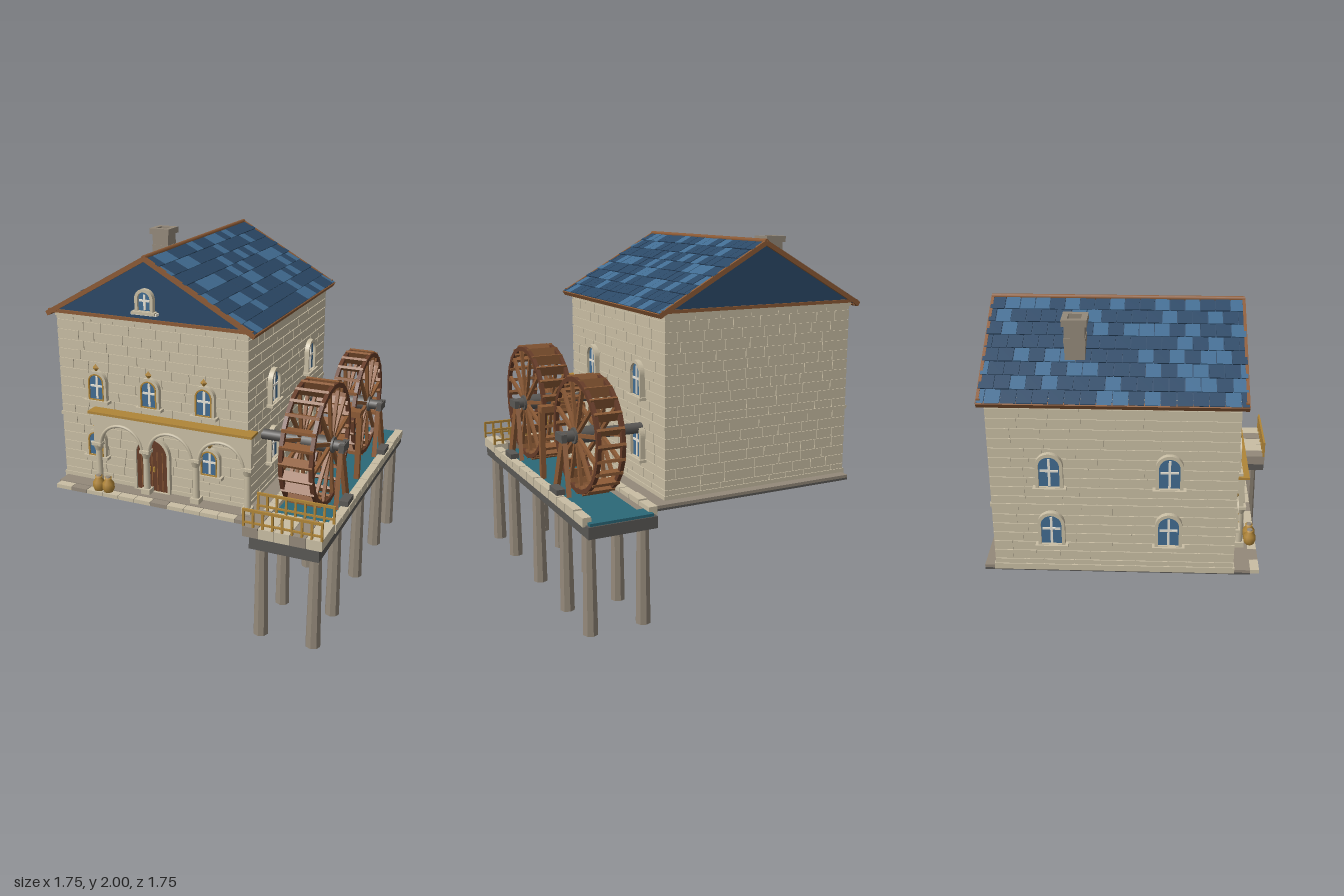
import * as THREE from 'three';
import { mergeGeometries } from 'three/addons/utils/BufferGeometryUtils.js';

const M = {};
for (const [name, color] of Object.entries({
  wallStone: 0xc9bea4, greyStone: 0x5a5855, taupe: 0x94897a, navySlate: 0x2b4866, blueSlate: 0x416c92,
  wood: 0x8c5a35, darkWood: 0x663c28, gold: 0xb08538, water: 0x2b6878, white: 0xe6e2d6 })) {
  M[name] = new THREE.MeshStandardMaterial({ color });
  M[name].name = name;
}
let seed = 7;
const rnd = () => (seed = (seed * 16807) % 2147483647) / 2147483647;

// Geometry helpers
const box = (w, h, d, x = 0, y = 0, z = 0) => new THREE.BoxGeometry(w, h, d).translate(x, y, z);
const span = (x0, x1, y0, y1, z0, z1) => box(x1 - x0, y1 - y0, z1 - z0, (x0 + x1) / 2, (y0 + y1) / 2, (z0 + z1) / 2);
const cyl = (r0, r1, h, n, x = 0, y = 0, z = 0) => new THREE.CylinderGeometry(r0, r1, h, n).translate(x, y, z);
const extrude = (s, depth, z = 0) =>
  new THREE.ExtrudeGeometry(s, { depth, bevelEnabled: false, curveSegments: 12 }).translate(0, 0, z);
function beam(a, b, w, d) {
  const p = new THREE.Vector3(...a), q = new THREE.Vector3(...b);
  const g = new THREE.BoxGeometry(w, p.distanceTo(q), d);
  g.applyQuaternion(new THREE.Quaternion().setFromUnitVectors(new THREE.Vector3(0, 1, 0), q.clone().sub(p).normalize()));
  return g.translate((a[0] + b[0]) / 2, (a[1] + b[1]) / 2, (a[2] + b[2]) / 2);
}
function add(parent, name, mat, geos) {
  const mesh = new THREE.Mesh(mergeGeometries(geos.map(g => (g.index ? g.toNonIndexed() : g))), mat);
  mesh.name = name;
  parent.add(mesh);
  return mesh;
}
function group(parent, name) {
  const g = new THREE.Group();
  g.name = name;
  parent.add(g);
  return g;
}
function archShape(w, h, y0 = 0, S = THREE.Shape) {
  const s = new S(), r = w / 2;
  s.moveTo(-r, y0);
  s.lineTo(r, y0);
  s.lineTo(r, h - r);
  s.absarc(0, h - r, r, 0, Math.PI, false);
  s.lineTo(-r, y0);
  return s;
}

// Arched window facing +z with its sill at the origin
function arched(parent, x, y, z, rot, w, h, trim) {
  const g = group(parent, 'window'), i = w - 0.035, ih = h - 0.018;
  g.position.set(x, y, z);
  g.rotation.y = rot;
  const frame = archShape(w, h);
  frame.holes.push(archShape(i, ih, 0.01, THREE.Path));
  add(g, 'windowFrame', M.wallStone, [extrude(frame, 0.03), box(w + 0.03, 0.016, 0.045, 0, 0, 0.02)]);
  add(g, 'windowPane', M.blueSlate, [extrude(archShape(i, ih), 0.008, 0.006)]);
  add(g, 'windowBars', M.white, [box(0.013, ih - 0.03, 0.006, 0, ih / 2, 0.017), box(i - 0.015, 0.012, 0.006, 0, h * 0.5, 0.017)]);
  if (trim) {
    const rim = archShape(i + 0.004, ih + 0.002, 0.008);
    rim.holes.push(archShape(i - 0.012, ih - 0.006, 0.014, THREE.Path));
    add(g, 'windowTrim', M.gold, [extrude(rim, 0.008, 0.024)]);
    add(g, 'goldDiamond', M.gold, [new THREE.OctahedronGeometry(0.024).scale(0.85, 1, 0.5).translate(0, h + 0.018, 0.02)]);
  }
}

function buildHouse(root) {
  const house = group(root, 'house');
  const X0 = -0.825, X1 = 0.335, Z0 = -0.705, Z1 = 0.58;
  add(house, 'walls', M.wallStone, [span(X0, X1, 0.62, 1.65, Z0, Z1)]);
  // Staggered stone courses, slightly proud of the walls
  const bricks = [], H = 0.0565;
  for (let row = 0; row < 18; row++) {
    const y0 = 0.632 + row * H, y1 = y0 + H - 0.005;
    for (const alongX of [true, false]) {
      const [a, b] = alongX ? [X0 - 0.006, X1 + 0.006] : [Z0, Z1];
      for (const side of [0, 1]) {
        let p = a;
        while (p < b) {
          let q = p + 0.09 + rnd() * 0.11;
          if (q > b - 0.05) q = b;
          const e = q === b ? b : q - 0.005, t = 0.006;
          if (alongX) bricks.push(span(p, e, y0, y1, side ? Z1 : Z0 - t, side ? Z1 + t : Z0));
          else bricks.push(span(side ? X1 : X0 - t, side ? X1 + t : X0, y0, y1, p, e));
          p = q;
        }
      }
    }
  }
  add(house, 'stoneCourses', M.wallStone, bricks);
  add(house, 'stoneBands', M.wallStone, [[1.015, 1.035, 0.012], [1.61, 1.65, 0.012], [0.62, 0.655, 0.012]]
    .map(([a, b, o]) => span(X0 - o, X1 + o, a, b, Z0 - o, Z1 + o)));

  // Ground slab and front paving
  add(house, 'slabUnderside', M.greyStone, [span(-0.82, 0.54, 0.603, 0.615, -0.775, 0.68)]);
  add(house, 'groundSlab', M.taupe, [span(-0.82, 0.54, 0.615, 0.632, -0.775, 0.68)]);
  for (let i = 0; i < 12; i++) {
    const x = -0.81 + i * 0.1033;
    add(house, 'paver', i % 5 === 1 ? M.taupe : M.wallStone, [span(x, x + 0.1, 0.605, 0.628, 0.675, 0.73)]);
  }

  // Windows on the front and both sides
  for (const x of [-0.58, -0.245, 0.09]) arched(house, x, 1.135, Z1 + 0.004, 0, 0.13, 0.18, true);
  for (const x of [-0.6, 0.12]) arched(house, x, 0.79, Z1 + 0.004, 0, 0.13, 0.17, true);
  for (const z of [0.23, -0.395]) for (const y of [0.79, 1.14]) {
    arched(house, X1 + 0.004, y, z, Math.PI / 2, 0.145, 0.205);
    arched(house, X0 - 0.004, y, z, -Math.PI / 2, 0.145, 0.205);
  }

  // Double door
  const door = group(house, 'door');
  door.position.set(-0.24, 0.632, Z1 + 0.004);
  const surround = archShape(0.23, 0.34);
  surround.holes.push(archShape(0.196, 0.322, 0.004, THREE.Path));
  add(door, 'doorSurround', M.wallStone, [extrude(surround, 0.028)]);
  add(door, 'doorLeaves', M.darkWood, [extrude(archShape(0.2, 0.322), 0.012, 0.003)]);
  add(door, 'doorBoards', M.wood, [-0.066, -0.033, 0, 0.033, 0.066].map(x => box(0.005, 0.24, 0.006, x, 0.125, 0.016)));
  add(door, 'doorHandles', M.gold, [-0.014, 0.014].map(x => box(0.01, 0.03, 0.009, x, 0.14, 0.021)));
}

function buildRoof(root) {
  const roof = group(root, 'roof'), A = 0.512, L = 0.715, CX = -0.245, ZC = -0.0625, D = 1.36;
  const tri = new THREE.Shape([[-0.6, 1.642], [0.6, 1.642], [0, 1.976]].map(([x, y]) => new THREE.Vector2(x + CX, y)));
  add(roof, 'gables', M.navySlate, [extrude(tri, 1.335, -0.73)]);
  for (const s of [-1, 1]) {
    const slope = group(roof, 'roofSlope');
    slope.position.set(CX, 1.978, ZC);
    slope.rotation.z = -s * A;
    const dark = [box(L, 0.012, D - 0.02, s * L / 2, -0.004, 0)], light = [];
    // Overlapping slates in staggered rows
    for (let r = 0; r < 8; r++) {
      const w = D / 17, len = L / 8;
      for (let c = 0; c < 18; c++) {
        const a = Math.max(-D / 2, -D / 2 + (c - (r % 2) / 2) * w), b = Math.min(D / 2, -D / 2 + (c + 1 - (r % 2) / 2) * w);
        if (b - a < 0.01) continue;
        const g = box(len + 0.006, 0.008, b - a - 0.004).rotateZ(s * 0.06).translate(s * (r + 0.5) * len, 0.006 + rnd() * 0.003, (a + b) / 2);
        (rnd() < 0.33 ? light : dark).push(g);
      }
    }
    add(slope, 'darkSlates', M.navySlate, dark);
    add(slope, 'lightSlates', M.blueSlate, light);
    add(slope, 'rakeTrim', M.wood, [-1, 1].map(e => box(L + 0.005, 0.026, 0.016, s * L / 2, 0, e * (D / 2 - 0.006))));
    add(slope, 'eaveTrim', M.wood, [box(0.02, 0.026, D, s * L, -0.002, 0)]);
  }
  add(roof, 'ridgeTrim', M.wood, [cyl(0.014, 0.014, D, 8).rotateX(Math.PI / 2).translate(CX, 1.984, ZC)]);
  add(roof, 'gableTrim', M.wood, [0.607, -0.732].map(z => box(1.24, 0.018, 0.018, CX, 1.642, z)));
  arched(roof, CX, 1.69, 0.603, 0, 0.11, 0.13);
  add(roof, 'gableSill', M.white, [box(0.155, 0.014, 0.035, CX, 1.685, 0.62)]);

  // Chimney with an open flue
  const sq = (r, S) => new S([[-r, -r], [r, -r], [r, r], [-r, r]].map(p => new THREE.Vector2(...p)));
  const ring = (r, h, y) => {
    const s = sq(r, THREE.Shape);
    s.holes.push(sq(0.035, THREE.Path));
    return extrude(s, h).rotateX(-Math.PI / 2).translate(-0.58, y, -0.265);
  };
  add(roof, 'chimney', M.taupe, [ring(0.053, 0.22, 1.74), ring(0.056, 0.04, 1.85), ring(0.066, 0.036, 1.956)]);
  add(roof, 'flue', M.greyStone, [box(0.07, 0.12, 0.07, -0.58, 1.88, -0.265)]);
}

function buildPorch(root) {
  const porch = group(root, 'porch'), cols = [-0.57, -0.26, 0.05, 0.36];
  // Arcade of three arches
  const s = new THREE.Shape();
  s.moveTo(-0.59, 0.885);
  for (let i = 0; i < 3; i++) {
    const c = (cols[i] + cols[i + 1]) / 2;
    s.lineTo(c - 0.13, 0.885);
    s.absarc(c, 0.885, 0.13, Math.PI, 0, true);
  }
  [[0.385, 0.885], [0.385, 1.075], [-0.59, 1.075]].forEach(p => s.lineTo(...p));
  add(porch, 'arcade', M.wallStone, [extrude(s, 0.03, 0.615)]);
  for (let i = 0; i < 3; i++) {
    const arc = new THREE.TorusGeometry(0.134, 0.009, 6, 16, Math.PI).translate((cols[i] + cols[i + 1]) / 2, 0.885, 0.645);
    add(porch, 'archMoulding', M.wallStone, [arc]);
  }
  add(porch, 'columns', M.wallStone, cols.flatMap(x => [
    cyl(0.018, 0.021, 0.26, 10, x, 0.75, 0.632), box(0.055, 0.035, 0.055, x, 0.645, 0.632),
    cyl(0.032, 0.02, 0.035, 10, x, 0.868, 0.632), box(0.06, 0.018, 0.055, x, 0.89, 0.632)]));
  add(porch, 'porchRoof', M.gold, [span(-0.61, 0.395, 1.078, 1.092, 0.575, 0.668)]);
  // Pair of jars beside the door
  const profile = [[0, 0], [0.024, 0], [0.036, 0.03], [0.034, 0.06], [0.018, 0.083], [0.022, 0.095], [0, 0.095]].map(p => new THREE.Vector2(...p));
  for (const x of [-0.541, -0.479]) {
    add(porch, 'jar', M.gold, [new THREE.LatheGeometry(profile, 12).translate(x, 0.62, 0.695)]);
    add(porch, 'jarLid', M.taupe, [cyl(0.014, 0.017, 0.008, 10, x, 0.717, 0.695)]);
  }
}

function buildChannel(root) {
  const ch = group(root, 'waterChannel');
  add(ch, 'channelSlab', M.greyStone, [span(0.467, 0.852, 0.553, 0.617, -0.878, 0.872)]);
  add(ch, 'water', M.water, [span(0.485, 0.84, 0.617, 0.632, -0.87, 0.66)]);
  const curb = [], platform = [];
  for (let i = 0; i < 12; i++) {
    const z = -0.84 + i * 0.124, h = 0.655 + rnd() * 0.008;
    for (const [a, b] of [[0.45, 0.5], [0.82, 0.867]]) curb.push(span(a, b, 0.61, h, z, z + 0.117));
  }
  for (let i = 0; i < 5; i++) platform.push(span(0.428 + i * 0.088, 0.513 + i * 0.088, 0.617, 0.675, 0.652, 0.87));
  add(ch, 'curbStones', M.wallStone, curb);
  platform.forEach((g, i) => add(ch, 'platformBlock', i % 3 ? M.wallStone : M.taupe, [g]));
  // Tapered stilts
  const posts = [];
  for (const z of [0.79, 0.45, -0.01, -0.45, -0.78]) for (const x of [0.508, 0.81]) posts.push(cyl(0.034, 0.042, 0.555, 8, x, 0.2775, z));
  add(ch, 'stilts', M.taupe, posts).geometry.computeVertexNormals();
  // Railings on both edges of the platform
  for (const z of [0.658, 0.863]) {
    const bars = [box(0.44, 0.014, 0.012, 0.647, 0.77, z), box(0.44, 0.01, 0.01, 0.647, 0.7, z)];
    for (let i = 0; i < 9; i++) bars.push(box(0.012, 0.1, 0.012, 0.433 + i * 0.0535, 0.722, z));
    add(ch, 'railing', M.gold, bars);
  }
  // Timber trestle between the wheels
  add(ch, 'trestle', M.wood, [span(0.53, 0.795, 1.022, 1.058, -0.07, -0.005), span(0.6, 0.72, 1.058, 1.075, -0.055, -0.02),
    ...[0.545, 0.785].map(x => box(0.03, 0.4, 0.03, x, 0.83, -0.037))]);
  add(ch, 'trestleCap', M.gold, [cyl(0.006, 0.012, 0.04, 6, 0.66, 1.09, -0.037)]);
}

// Water wheel with spokes, paddles, axle and outer trestle
function buildWheel(root, y, z, R, x0, x1) {
  const w = group(root, 'waterWheel'), C = (x0 + x1) / 2;
  w.position.set(0, y, z);
  const rims = [], spokes = [], paddles = [];
  for (const x of [x0, x1 - 0.022]) {
    const s = new THREE.Shape().absarc(0, 0, R - 0.008, 0, Math.PI * 2);
    s.holes.push(new THREE.Path().absarc(0, 0, R - 0.034, 0, Math.PI * 2));
    rims.push(extrude(s, 0.022).rotateY(Math.PI / 2).translate(x, 0, 0));
    for (let i = 0; i < 12; i++)
      spokes.push(box(0.018, R - 0.04, 0.02, x + 0.011, (R - 0.01) / 2, 0).rotateX((i + 0.35) * Math.PI / 6));
  }
  for (let i = 0; i < 24; i++)
    paddles.push(box(x1 - x0 - 0.004, 0.055, 0.016).rotateX(0.5).translate(C, R - 0.027, 0).rotateX(i * Math.PI / 12));
  add(w, 'rims', M.darkWood, rims);
  add(w, 'spokes', M.wood, spokes);
  add(w, 'paddles', M.wood, paddles);
  add(w, 'axle', M.greyStone, [cyl(0.03, 0.03, 0.49, 10).rotateZ(Math.PI / 2).translate(0.575, 0, 0),
    cyl(0.045, 0.045, x1 - x0 + 0.02, 10).rotateZ(Math.PI / 2).translate(C, 0, 0)]);
  const foot = 0.66 - y;
  add(w, 'wheelLegs', M.wood, [-1, 1].map(s => beam([0.795, 0.02, 0], [0.81, foot, s * 0.095], 0.026, 0.03)));
  add(w, 'bearing', M.greyStone, [box(0.03, 0.045, 0.1, 0.812, 0, 0), box(0.05, 0.03, 0.11, 0.84, foot + 0.02, 0)]);
}

export function createModel() {
  const root = new THREE.Group();
  root.name = 'watermill';
  buildHouse(root);
  buildRoof(root);
  buildPorch(root);
  buildChannel(root);
  buildWheel(root, 0.995, 0.367, 0.35, 0.56, 0.75);
  buildWheel(root, 0.968, -0.418, 0.326, 0.577, 0.735);
  return root;
}
